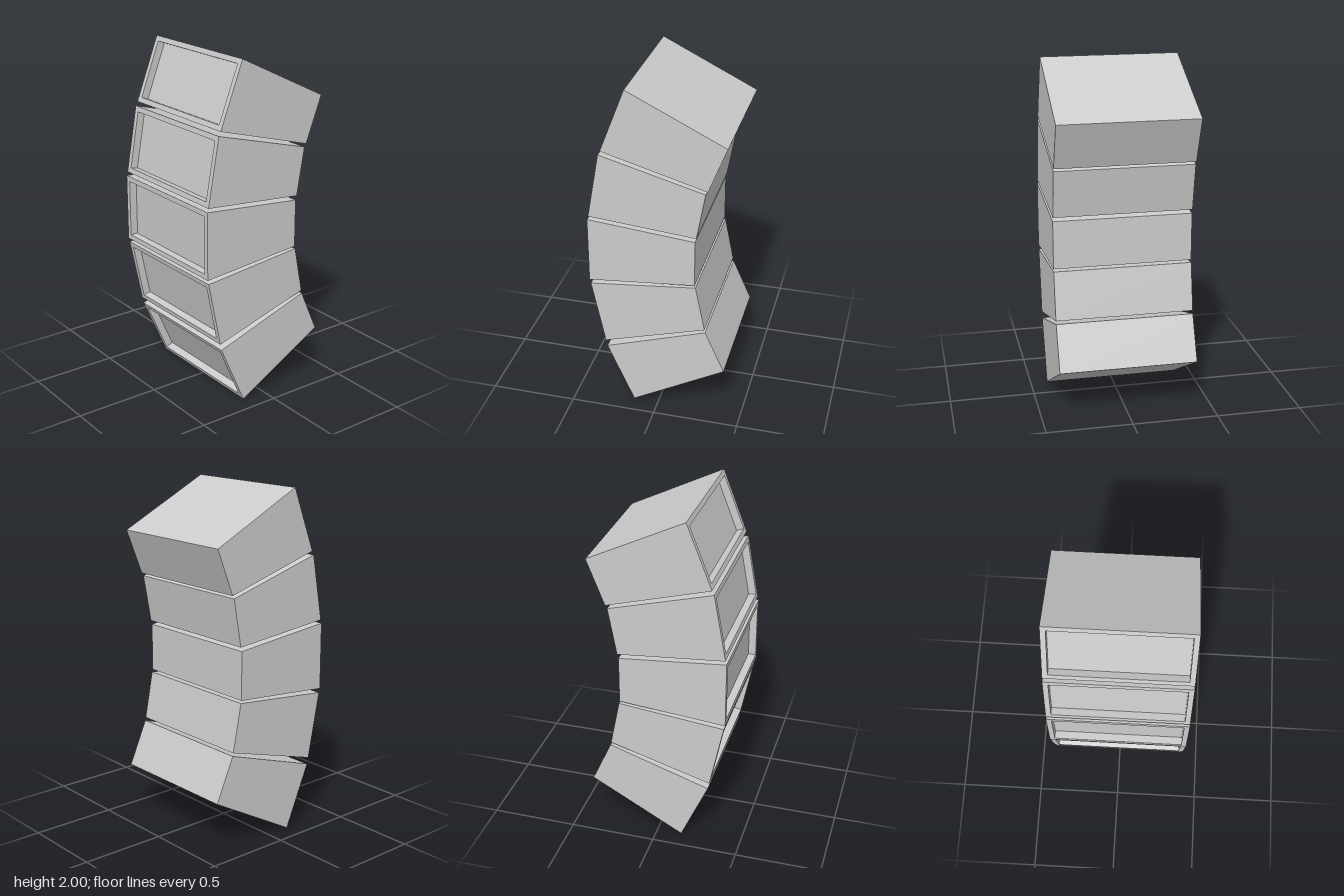
import * as THREE from 'three';

const HALF_DEPTH = 0.4; // half extent along z
const RIM = 0.03;       // border round each recess
const RECESS = 0.045;   // recess depth

// Side outlines, top to bottom: outer top, inner top, inner bottom, outer bottom
const OUTLINES = [
  [[-0.167, 2], [0.386, 1.728], [0.284, 1.464], [-0.309, 1.633]],
  [[-0.321, 1.61], [0.273, 1.447], [0.224, 1.17], [-0.39, 1.224]],
  [[-0.397, 1.203], [0.217, 1.146], [0.217, 0.866], [-0.397, 0.81]],
  [[-0.39, 0.786], [0.222, 0.851], [0.277, 0.575], [-0.312, 0.4]],
  [[-0.304, 0.362], [0.281, 0.557], [0.394, 0.302], [-0.146, 0]],
];

// Tapered block whose outer (-x) face has a shallow rectangular recess
function createBlockGeometry(outline) {
  const positions = [];
  const quad = (a, b, c, d) => {
    for (const p of [a, b, c, a, c, d]) positions.push(p.x, p.y, p.z);
  };
  const corners = (z) => outline.map(([x, y]) => new THREE.Vector3(x, y, z));
  const [tlF, trF, brF, blF] = corners(HALF_DEPTH);
  const [tlB, trB, brB, blB] = corners(-HALF_DEPTH);

  // Front, back, top, bottom and inner side
  quad(blF, brF, trF, tlF);
  quad(brB, blB, tlB, trB);
  quad(tlF, trF, trB, tlB);
  quad(blB, brB, brF, blF);
  quad(brF, brB, trB, trF);

  // Outer side: rim, recess walls and recess floor
  const up = tlF.clone().sub(blF).normalize();
  const inward = new THREE.Vector3(up.y, -up.x, 0);
  const outer = [blB, blF, tlF, tlB];
  const opening = outer.map((p, i) => {
    const q = p.clone().addScaledVector(up, i < 2 ? RIM : -RIM);
    q.z -= Math.sign(q.z) * RIM;
    return q;
  });
  const floor = opening.map((p) => p.clone().addScaledVector(inward, RECESS));
  for (let i = 0; i < 4; i++) {
    const j = (i + 1) % 4;
    quad(outer[i], outer[j], opening[j], opening[i]);
    quad(opening[i], opening[j], floor[j], floor[i]);
  }
  quad(...floor);

  const geometry = new THREE.BufferGeometry();
  geometry.setAttribute('position', new THREE.Float32BufferAttribute(positions, 3));
  geometry.computeVertexNormals();
  return geometry;
}

export function createModel() {
  const model = new THREE.Group();
  model.name = 'curvedBlockStack';
  const material = new THREE.MeshStandardMaterial({ color: 0xcccccc, flatShading: true });
  OUTLINES.forEach((outline, i) => {
    const block = new THREE.Mesh(createBlockGeometry(outline), material);
    block.name = `archBlock${i + 1}`;
    model.add(block);
  });
  return model;
}
